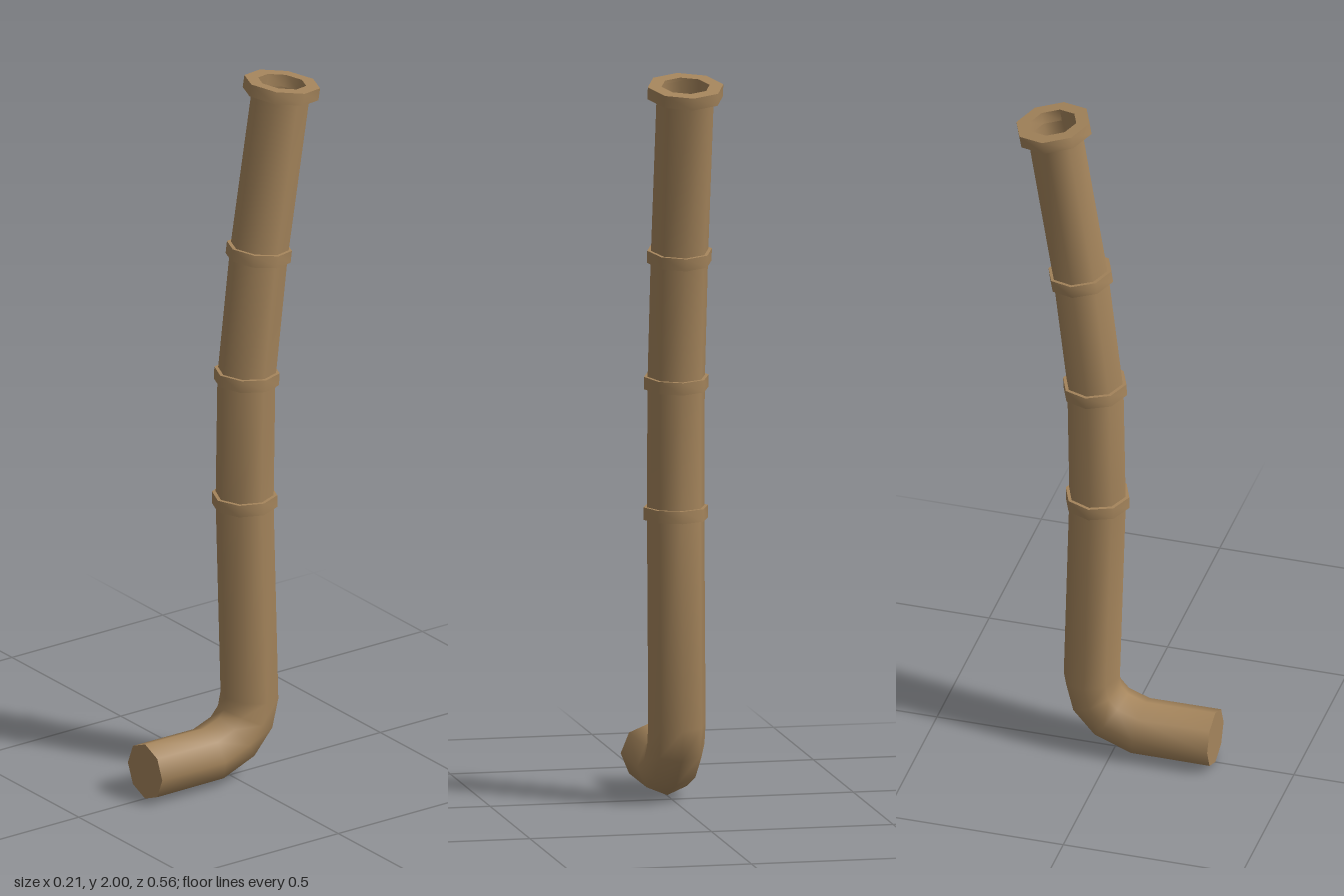
import * as THREE from 'three';
import { toCreasedNormals } from 'three/addons/utils/BufferGeometryUtils.js';

const SIDES = 8;
const CREASE = 0.95; // keeps the eight sides smooth and the end edges sharp

// Octagonal tube along [y, z] points, closed at its first point.
// With inside = true the faces look inward.
function sweep(path, radius, inside = false) {
  const pts = path.map(([y, z]) => new THREE.Vector3(0, y, z));
  const xAxis = new THREE.Vector3(1, 0, 0);
  const positions = [], index = [];
  const tri = (a, b, c) => (inside ? index.push(a, c, b) : index.push(a, b, c));
  pts.forEach((p, i) => {
    const tangent = new THREE.Vector3();
    if (i > 0) tangent.add(p.clone().sub(pts[i - 1]).normalize());
    if (i < pts.length - 1) tangent.add(pts[i + 1].clone().sub(p).normalize());
    const up = xAxis.clone().cross(tangent.normalize());
    for (let j = 0; j < SIDES; j++) {
      const a = (j / SIDES) * Math.PI * 2;
      const v = p.clone().addScaledVector(xAxis, Math.cos(a) * radius).addScaledVector(up, Math.sin(a) * radius);
      positions.push(v.x, v.y, v.z);
    }
  });
  const centre = positions.length / 3;
  positions.push(pts[0].x, pts[0].y, pts[0].z);
  for (let j = 0; j < SIDES; j++) {
    const k = (j + 1) % SIDES;
    tri(centre, j, k);
    for (let i = 0; i < pts.length - 1; i++) {
      const a = i * SIDES + j, b = i * SIDES + k;
      tri(a, a + SIDES, b);
      tri(b, a + SIDES, b + SIDES);
    }
  }
  const geo = new THREE.BufferGeometry();
  geo.setAttribute('position', new THREE.Float32BufferAttribute(positions, 3));
  geo.setIndex(index);
  geo.computeVertexNormals();
  return geo;
}

// Octagonal collar with a hole
function collar(outer, inner, height) {
  const h = height / 2;
  const profile = [[inner, -h], [outer, -h], [outer, h], [inner, h], [inner, -h]]
    .map(([x, y]) => new THREE.Vector2(x, y));
  return toCreasedNormals(new THREE.LatheGeometry(profile, SIDES), CREASE);
}

export function createModel() {
  const group = new THREE.Group();
  const material = new THREE.MeshStandardMaterial({ color: 0xa5855c });
  const add = (name, geo) => {
    const mesh = new THREE.Mesh(geo, material);
    mesh.name = name;
    group.add(mesh);
    return mesh;
  };

  // Pipe: short foot to the front, elbow, then a gently bowed upright
  const upright = [[0.79, -0.05], [1.15, -0.056], [1.5, -0.097], [1.965, -0.172]];
  const pipe = [[0.081, 0.28], [0.081, 0.07], [0.112, -0.01], [0.16, -0.052], [0.22, -0.066], ...upright];
  add('pipe', toCreasedNormals(sweep(pipe, 0.079), CREASE));

  // Hollow of the mouth with its floor
  add('bore', sweep([[1.5, -0.097], [1.974, -0.1735]], 0.066, true));

  // Joint collars, each tilted with the pipe
  const joints = [[0.795, -0.05, 0], [1.153, -0.057, -0.06], [1.505, -0.097, -0.13]];
  joints.forEach(([y, z, tilt], i) => {
    const ring = add('jointCollar' + (i + 1), collar(0.089, 0.07, 0.034));
    ring.position.set(0, y, z);
    ring.rotation.x = tilt;
  });

  // Wide rim at the open top
  const rim = add('topRim', collar(0.104, 0.066, 0.034));
  rim.position.set(0, 1.966, -0.172);
  rim.rotation.x = -0.165;

  return group;
}
